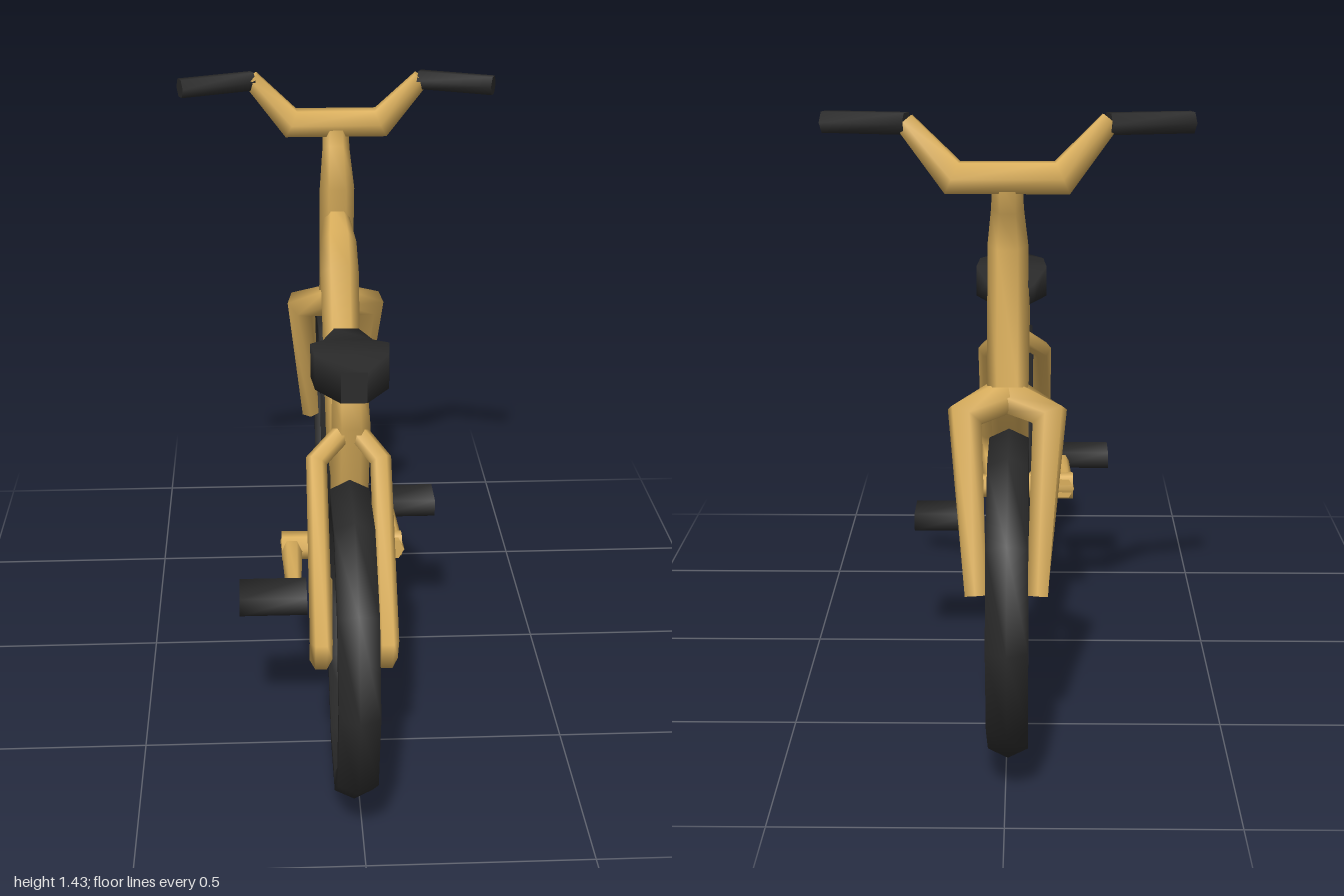
import * as THREE from 'three';

const V = (p) => new THREE.Vector3(...p);
const AX = [1, 0, 0], AZ = [0, 0, 1];

// Tapered tube through points; each radius is a number or [across, deep].
// With square = true the section is a rectangle with those half sizes.
function tube(points, radii, ref = AX, sides = 6, square = false) {
  const pts = points.map(V), pos = [], idx = [], n = sides;
  const phase = square ? Math.PI / 4 : 0, grow = square ? Math.SQRT2 : 1;
  const rings = pts.map((p, k) => {
    const t = new THREE.Vector3();
    if (k > 0) t.add(p.clone().sub(pts[k - 1]).normalize());
    if (k < pts.length - 1) t.add(pts[k + 1].clone().sub(p).normalize());
    t.normalize();
    const u = V(ref).addScaledVector(t, -V(ref).dot(t)).normalize();
    const v = t.clone().cross(u);
    const [ru, rv] = [radii[k]].flat().length > 1 ? radii[k] : [radii[k], radii[k]];
    return Array.from({ length: n }, (_, i) => {
      const a = phase + (i / n) * Math.PI * 2;
      return p.clone().addScaledVector(u, Math.cos(a) * ru * grow).addScaledVector(v, Math.sin(a) * rv * grow);
    });
  });
  rings.forEach((r) => r.forEach((q) => pos.push(q.x, q.y, q.z)));
  for (let k = 0; k < rings.length - 1; k++) {
    for (let i = 0; i < n; i++) {
      const a = k * n + i, b = k * n + ((i + 1) % n);
      idx.push(a, b, a + n, b, b + n, a + n);
    }
  }
  // End caps with their own vertices keep the rims sharp
  [rings[0], rings[rings.length - 1]].forEach((ring, end) => {
    const base = pos.length / 3;
    ring.forEach((q) => pos.push(q.x, q.y, q.z));
    for (let i = 1; i < n - 1; i++) {
      if (end) idx.push(base, base + i, base + i + 1);
      else idx.push(base, base + i + 1, base + i);
    }
  });
  const g = new THREE.BufferGeometry();
  g.setAttribute('position', new THREE.Float32BufferAttribute(pos, 3));
  g.setIndex(idx);
  g.computeVertexNormals();
  return g;
}

export function createModel() {
  const model = new THREE.Group();
  model.name = 'bicycle';
  const paint = new THREE.MeshStandardMaterial({ color: 0xd9ae5c });
  paint.name = 'golden paint';
  const rubber = new THREE.MeshStandardMaterial({ color: 0x2b2b2b });
  rubber.name = 'black rubber';
  const add = (name, geometry, material = paint) => {
    const mesh = new THREE.Mesh(geometry, material);
    mesh.name = name;
    model.add(mesh);
    return mesh;
  };

  // Ten-sided tyres
  const tyre = (name, x, y, z) => {
    const g = new THREE.TorusGeometry(0.325, 0.041, 6, 10);
    g.scale(1, 1, 1.25).rotateY(Math.PI / 2);
    add(name, g, rubber).position.set(x, y, z);
  };
  tyre('rearWheel', -0.012, 0.35, 0.633);
  tyre('frontWheel', -0.004, 0.382, -0.628);

  // Frame
  add('mainTube', tube(
    [[0, 0.485, 0.22], [0, 0.567, -0.035], [0, 0.945, -0.25], [0, 1.01, -0.315], [0, 1.055, -0.43]],
    [0.035, 0.045, 0.05, 0.047, 0.032]));
  add('seatTube', tube(
    [[0, 0.34, 0.2], [0, 0.755, 0.34], [0, 0.83, 0.28], [0, 0.885, 0.27]],
    [0.046, 0.046, 0.042, 0.034]));
  add('headTube', tube([[0, 0.82, -0.495], [0, 1.13, -0.412], [0, 1.225, -0.475], [0, 1.29, -0.48]],
    [0.046, 0.046, 0.036, 0.034]));

  // Handlebar rising to both sides
  add('handlebar', tube(
    [[-0.225, 1.415, -0.465], [-0.12, 1.292, -0.483], [0.12, 1.292, -0.483], [0.225, 1.412, -0.465]],
    [0.025, 0.043, 0.043, 0.025], AZ));

  for (const s of [-1, 1]) {
    const side = s > 0 ? 'left' : 'right';
    add(side + 'Grip', tube([[s * 0.22, 1.408, -0.468], [s * 0.408, 1.404, -0.4]], [0.027, 0.027], AZ), rubber);

    // Fork leg bending out from the head tube and tapering down
    add(side + 'ForkLeg', tube(
      [[0, 0.8, -0.475], [s * 0.095, 0.765, -0.535], [s * 0.068, 0.39, -0.672]],
      [0.045, 0.044, 0.027], AZ));

    // Rear stays: down to the dropout and back to the bottom bracket
    const x = -0.008 + s * 0.075;
    add(side + 'RearStay', tube(
      [[0, 0.76, 0.335], [x, 0.69, 0.39], [x, 0.365, 0.67], [x, 0.302, 0.635], [x * 0.75, 0.37, 0.2]],
      [0.024, 0.026, 0.026, 0.026, 0.024]));
  }

  // Cranks and pedals
  add('crankAxle', tube([[-0.165, 0.37, 0.18], [0.135, 0.37, 0.18]], [0.036, 0.031], AZ));
  add('rightCrank', tube([[-0.14, 0.37, 0.15], [-0.14, 0.37, 0.42]], [0.028, 0.018]));
  add('leftCrank', tube([[0.112, 0.37, 0.215], [0.112, 0.37, -0.04]], [0.028, 0.018]));
  const pedal = (name, x0, x1, z) => add(name, tube(
    [[x0, 0.371, z], [x1, 0.371, z]], [[0.052, 0.022], [0.052, 0.022]], AZ, 4, true), rubber);
  pedal('rightPedal', -0.268, -0.11, 0.455);
  pedal('leftPedal', 0.08, 0.238, -0.073);

  // Saddle, from nose to tail
  add('saddle', tube(
    [[0, 0.892, 0.095], [0, 0.892, 0.19], [0, 0.903, 0.29], [0, 0.906, 0.38], [0, 0.907, 0.485]],
    [[0.03, 0.02], [0.06, 0.024], [0.093, 0.04], [0.085, 0.042], [0.03, 0.037]], AX, 4, true), rubber);

  return model;
}
